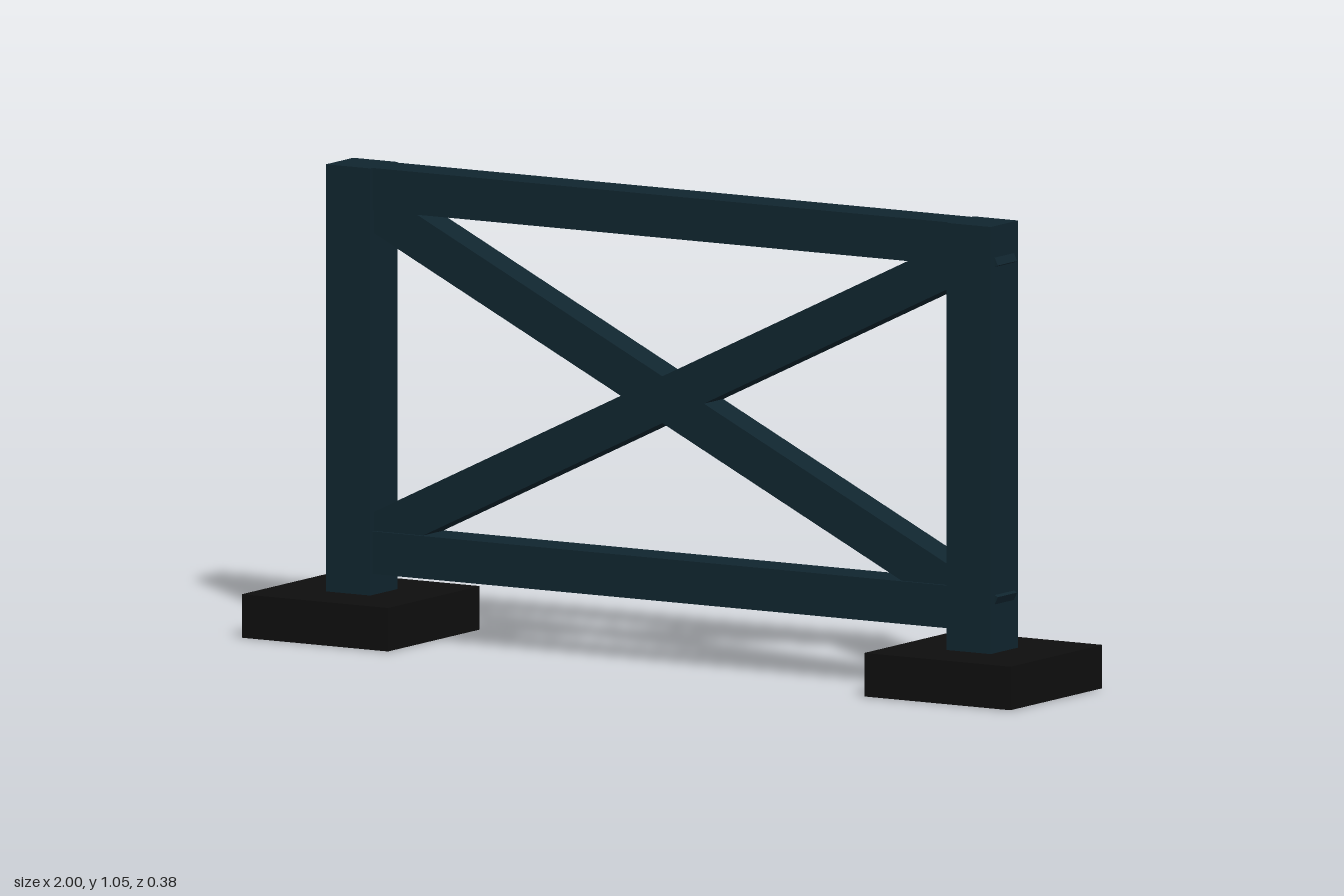
import * as THREE from 'three';

export function createModel() {
  const model = new THREE.Group();
  const steel = new THREE.MeshStandardMaterial({ color: 0x10252f });
  steel.name = 'dark blue steel';
  const rubber = new THREE.MeshStandardMaterial({ color: 0x0e0e0e });
  rubber.name = 'black rubber';

  const addBox = (name, size, position, material, tilt = 0) => {
    const mesh = new THREE.Mesh(new THREE.BoxGeometry(...size), material);
    mesh.name = name;
    mesh.position.set(...position);
    mesh.rotation.z = tilt;
    model.add(mesh);
  };

  // Feet and posts; each post passes through its foot to the ground
  for (const [side, s] of [['left', 1], ['right', -1]]) {
    addBox(`${side}Foot`, [0.38, 0.097, 0.38], [s * 0.81, 0.0495, 0], rubber);
    addBox(`${side}Post`, [0.115, 1.05, 0.113], [s * 0.8075, 0.525, 0], steel);
  }

  // Horizontal rails between the posts
  addBox('bottomRail', [1.51, 0.095, 0.095], [0, 0.1925, 0], steel);
  addBox('topRail', [1.51, 0.095, 0.095], [0, 1.0025, 0], steel);

  // Crossed braces, whose end corners poke slightly out of the posts
  const angle = Math.atan(0.483);
  addBox('risingBrace', [1.894, 0.094, 0.08], [0, 0.593, 0], steel, angle);
  addBox('fallingBrace', [1.894, 0.094, 0.08], [0, 0.593, 0], steel, -angle);

  return model;
}
